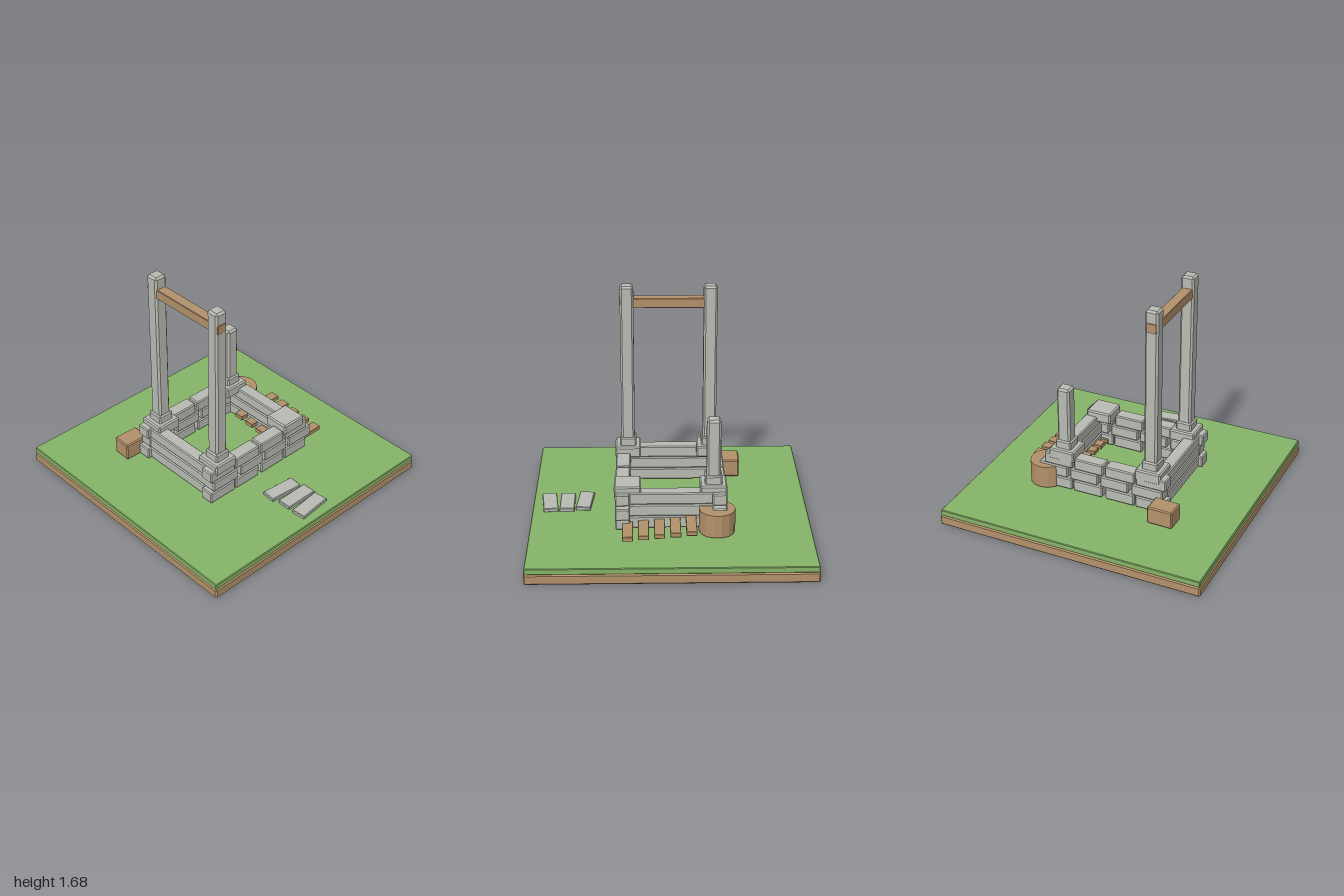
import * as THREE from 'three';
import { ConvexGeometry } from 'three/addons/geometries/ConvexGeometry.js';

const material = (name, color) => {
  const m = new THREE.MeshStandardMaterial({ color });
  m.name = name;
  return m;
};

// Box with cut edges: every corner becomes three points, one per face.
function chamferBox(w, h, d, c) {
  const points = [];
  for (const sx of [-1, 1]) for (const sy of [-1, 1]) for (const sz of [-1, 1]) {
    for (let face = 0; face < 3; face++) {
      points.push(new THREE.Vector3(
        sx * (w / 2 - (face === 0 ? 0 : c)),
        sy * (h / 2 - (face === 1 ? 0 : c)),
        sz * (d / 2 - (face === 2 ? 0 : c))));
    }
  }
  return new ConvexGeometry(points);
}

export function createModel() {
  const stone = material('stone', 0xb9bbb4);
  const wood = material('wood', 0xb3926b);
  const grass = material('grass', 0x86b568);
  const model = new THREE.Group();
  model.name = 'ruinedWell';

  // Chamfered block given by its limits on each axis.
  function block(name, mat, [x0, x1], [y0, y1], [z0, z1], c = 0.008) {
    const mesh = new THREE.Mesh(chamferBox(x1 - x0, y1 - y0, z1 - z0, c), mat);
    mesh.position.set((x0 + x1) / 2, (y0 + y1) / 2, (z0 + z1) / 2);
    mesh.name = name;
    model.add(mesh);
    return mesh;
  }
  const around = (centre, size) => [centre - size / 2, centre + size / 2];

  // Ground slab
  block('soil', wood, [-1, 1], [0, 0.077], [-1, 1], 0.01);
  block('grassLayer', grass, [-0.995, 0.995], [0.075, 0.12], [-0.995, 0.995], 0.005);

  // Three courses: staggered bricks front and back, long stones at the sides
  const courses = [
    { y: [0.138, 0.227], bricks: [[-0.48, -0.245], [-0.237, -0.01], [0.015, 0.245], [0.255, 0.475]] },
    { y: [0.23, 0.317], bricks: [[-0.455, -0.217], [-0.19, 0.03], [0.05, 0.27], [0.29, 0.52]] },
    { y: [0.32, 0.407], bricks: [[-0.48, -0.25], [-0.24, -0.008], [0.008, 0.235], [0.25, 0.475]] },
  ];
  courses.forEach(({ y, bricks }) => {
    for (const x of bricks) {
      block('frontBrick', stone, x, y, [0.285, 0.39]);
      block('backBrick', stone, x, y, [-0.395, -0.292]);
    }
    block('leftWallStone', stone, [0.35, 0.447], y, [-0.32, 0.295]);
    block('rightWallStone', stone, [-0.45, -0.352], y, [-0.32, 0.295]);
  });

  // Corner caps; three of them carry a plinth and a post
  const corners = [
    { x: -0.34, z: 0.302, top: 1.677 },
    { x: -0.34, z: -0.302, top: 1.677 },
    { x: 0.338, z: -0.302, top: 0.927 },
    { x: 0.338, z: 0.302 },
  ];
  for (const { x, z, top } of corners) {
    block('cornerCap', stone, around(x, 0.195), [0.365, 0.45], around(z, 0.19), 0.01);
    if (!top) continue;
    block('plinth', stone, around(x, 0.122), [0.43, 0.512], around(z, 0.122), 0.01);
    block('post', stone, around(x, 0.098), [0.48, top], around(z, 0.098), 0.014);
  }
  block('crossBeam', wood, [-0.38, -0.302], [1.515, 1.587], [-0.354, 0.354], 0.004);

  // Row of planks rising gently towards the back
  for (let i = 0; i < 5; i++) {
    block('plank', wood, [0.29, 0.683], around(0.172 + i * 0.01, 0.034),
      around(0.302 - i * 0.111, 0.075), 0.003);
  }

  // Log stump and wooden block behind the well
  const stump = new THREE.Mesh(
    new THREE.CylinderGeometry(0.128, 0.128, 0.17, 14).toNonIndexed(), wood);
  stump.geometry.computeVertexNormals();
  stump.position.set(0.485, 0.223, -0.324);
  stump.name = 'stump';
  model.add(stump);
  block('woodBlock', wood, [-0.594, -0.402], [0.132, 0.265], [-0.537, -0.392], 0.009)
    .rotation.y = -0.03;

  // Stepping stones
  for (const [x, z, turn] of [[0, 0.617, -0.09], [0.02, 0.745, 0], [0.02, 0.872, 0.1]]) {
    block('steppingStone', stone, around(x, 0.26), [0.118, 0.147], around(z, 0.108), 0.005)
      .rotation.y = turn;
  }
  return model;
}
